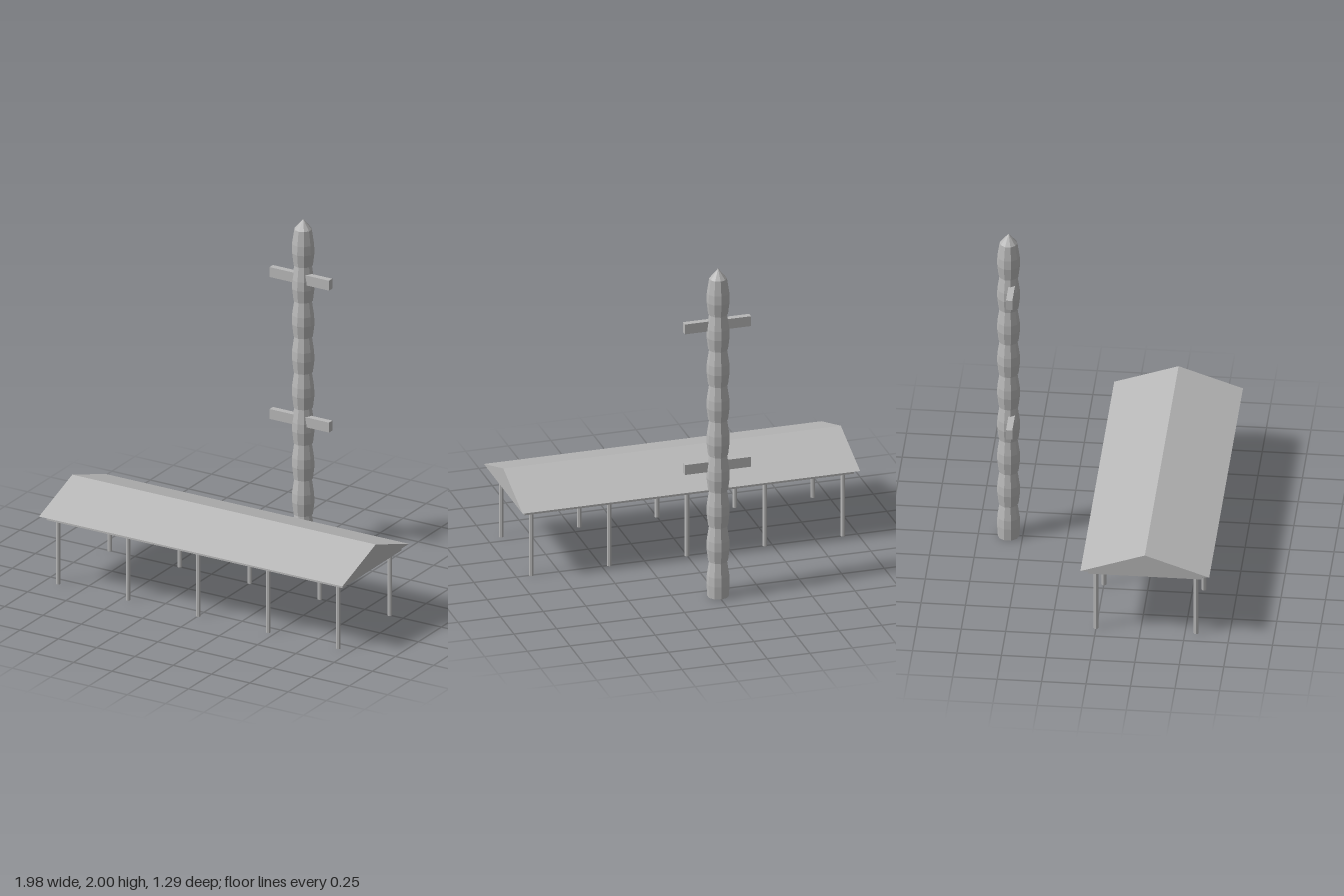
import * as THREE from 'three';

const gray = new THREE.MeshStandardMaterial({ color: 0xb8b8b8 });
gray.name = 'plain gray';

// Faceted mesh: split the faces so every one gets its own flat normal
function part(name, geometry, x = 0, y = 0, z = 0) {
  const flat = geometry.index ? geometry.toNonIndexed() : geometry;
  flat.computeVertexNormals();
  const mesh = new THREE.Mesh(flat, gray);
  mesh.name = name;
  mesh.position.set(x, y, z);
  return mesh;
}

const box = (name, w, h, d, x, y, z) => part(name, new THREE.BoxGeometry(w, h, d), x, y, z);

function createPole() {
  const pole = new THREE.Group();
  pole.name = 'pole';
  pole.position.z = -0.58;

  // Nine stacked bulging segments and a pointed tip, ten sided
  const step = 0.2155;
  const profile = [new THREE.Vector2(0, 0)];
  for (let i = 0; i < 9; i++) {
    const y = i * step;
    profile.push(
      new THREE.Vector2(i === 0 ? 0.061 : 0.056, y),
      new THREE.Vector2(0.065, y + step * 0.35),
      new THREE.Vector2(0.063, y + step * 0.6),
      new THREE.Vector2(0.05, y + step)
    );
  }
  profile.push(new THREE.Vector2(0, 2));
  pole.add(part('poleShaft', new THREE.LatheGeometry(profile, 10)));

  // Crossbars set into the shaft
  for (const y of [0.79, 1.65]) pole.add(box('crossbar', 0.388, 0.06, 0.036, -0.001, y, 0.022));
  return pole;
}

function createShelter() {
  const shelter = new THREE.Group();
  shelter.name = 'shelter';
  shelter.position.z = 0.281;

  // Solid gable roof
  const gable = new THREE.Shape([
    new THREE.Vector2(-0.362, 0.42),
    new THREE.Vector2(0.362, 0.42),
    new THREE.Vector2(0, 0.545)
  ]);
  const roof = new THREE.ExtrudeGeometry(gable, { depth: 1.98, bevelEnabled: false });
  roof.translate(0, 0, -0.99).rotateY(Math.PI / 2);
  shelter.add(part('roof', roof));

  // Rail frame under the eaves, with a row of posts on each long side
  for (const side of [-1, 1]) {
    shelter.add(box('longRail', 1.932, 0.03, 0.05, 0, 0.405, side * 0.297));
    shelter.add(box('endRail', 0.05, 0.03, 0.544, side * 0.941, 0.405, 0));
    for (let i = -2; i <= 2; i++) {
      const post = new THREE.CylinderGeometry(0.0135, 0.0135, 0.4, 8);
      shelter.add(part('post', post, i * 0.457, 0.2, side * 0.281));
    }
  }
  return shelter;
}

export function createModel() {
  const model = new THREE.Group();
  model.name = 'shelterAndPole';
  model.add(createShelter(), createPole());
  return model;
}
